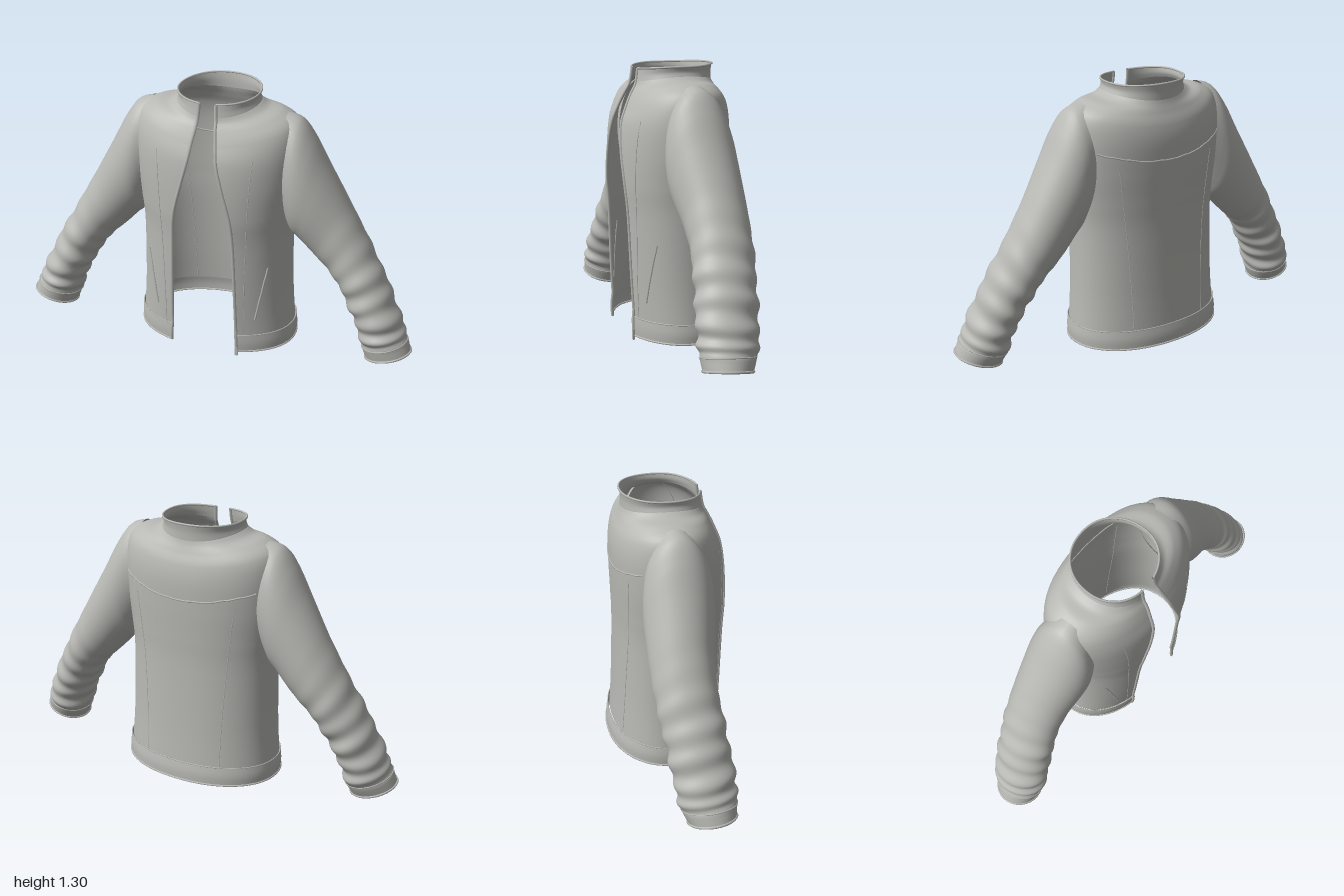
import * as THREE from 'three';
import { ParametricGeometry } from 'three/addons/geometries/ParametricGeometry.js';

// Torso rings: side y, front y, back y, half width, front z, back depth, half opening
const HEM = [
  [0.02, 0.02, 0.02, 0.4, 0.243, 0.278, 0.17],
  [0.065, 0.065, 0.065, 0.402, 0.246, 0.277, 0.168],
  [0.112, 0.112, 0.112, 0.396, 0.245, 0.268, 0.165],
];
const TORSO = [
  [0.105, 0.105, 0.105, 0.39, 0.24, 0.26, 0.165],
  [0.3, 0.3, 0.3, 0.376, 0.25, 0.249, 0.16],
  [0.6, 0.6, 0.6, 0.37, 0.262, 0.24, 0.15],
  [0.75, 0.75, 0.75, 0.382, 0.274, 0.243, 0.137],
  [0.9, 0.9, 0.9, 0.4, 0.278, 0.248, 0.1],
  [1.06, 1.02, 1.03, 0.405, 0.267, 0.248, 0.07],
  [1.17, 1.1, 1.11, 0.38, 0.238, 0.235, 0.058],
  [1.215, 1.16, 1.165, 0.31, 0.21, 0.213, 0.048],
  [1.225, 1.195, 1.2, 0.235, 0.19, 0.199, 0.045],
  [1.245, 1.215, 1.22, 0.197, 0.183, 0.193, 0.043],
];
const COLLAR = [
  [1.245, 1.215, 1.22, 0.197, 0.183, 0.193, 0.043],
  [1.265, 1.245, 1.26, 0.189, 0.178, 0.193, 0.041],
  [1.289, 1.277, 1.297, 0.193, 0.174, 0.198, 0.04],
];
// Sleeve rings: outer x, y, inner x, y, front z, back z, tilt of the ring
const SLEEVE = [
  [0.33, 1.216, 0.35, 0.68, 0.145, -0.14, 0],
  [0.4, 1.19, 0.365, 0.645, 0.163, -0.153, 0],
  [0.46, 1.11, 0.385, 0.615, 0.168, -0.16, 0],
  [0.53, 0.98, 0.42, 0.585, 0.16, -0.16, 0],
  [0.63, 0.8, 0.49, 0.51, 0.14, -0.155, 0],
  [0.72, 0.64, 0.565, 0.44, 0.14, -0.145, 0],
  [0.8, 0.5, 0.625, 0.365, 0.155, -0.13, 0],
  [0.87, 0.37, 0.675, 0.275, 0.17, -0.11, 0],
  [0.93, 0.24, 0.72, 0.19, 0.183, -0.095, 0],
  [0.965, 0.16, 0.745, 0.1, 0.183, -0.075, 0.01],
  [0.992, 0.09, 0.775, 0.028, 0.176, -0.042, 0.012],
];

// Smoothly blend the rows of a ring table, v from 0 to 1
function rowAt(rows, v) {
  const n = rows.length - 1;
  const i = Math.max(0, Math.min(n - 1, Math.floor(v * n)));
  const t = v * n - i;
  const [a, b, c, d] = [Math.max(0, i - 1), i, i + 1, Math.min(n, i + 2)].map((k) => rows[k]);
  return b.map((p, k) => {
    const m0 = (c[k] - a[k]) / 2, m1 = (d[k] - p) / 2, e = c[k] - p;
    return p + t * (m0 + t * (3 * e - 2 * m0 - m1 + t * (m0 + m1 - 2 * e)));
  });
}

// Rounded torso outline; angle 0 is the front, PI the back
const POW = 2 / 2.15;
const bend = (s) => Math.sign(s) * Math.abs(s) ** POW;
const angleOf = (x, w) => Math.asin(Math.min(1, (Math.abs(x) / w) ** (1 / POW)));

function torsoPoint(row, a, target = new THREE.Vector3()) {
  const [ySide, yFront, yBack, w, zf, zb, gap] = row;
  const s = bend(Math.sin(a)), c = bend(Math.cos(a));
  const front = zf / bend(Math.cos(angleOf(gap, w)));
  const yMid = c > 0 ? yFront : yBack;
  return target.set(w * s, yMid + (ySide - yMid) * s * s, c * (c > 0 ? front : zb));
}

function panelPoint(rows, u, v, target) {
  const row = rowAt(rows, v);
  const a0 = angleOf(row[6], row[3]);
  return torsoPoint(row, a0 + u * (2 * Math.PI - 2 * a0), target);
}

// Point of the torso at a given x and y, on the front or the back
function onTorso(x, y, back) {
  let best = null, miss = Infinity;
  for (let i = 0; i <= 300; i++) {
    const row = rowAt(TORSO, i / 300);
    const a = angleOf(x, row[3]);
    const p = torsoPoint(row, back ? Math.PI - a : a);
    if (Math.abs(p.y - y) < miss) { miss = Math.abs(p.y - y); best = p; }
  }
  best.x *= Math.sign(x) || 1;
  return best;
}

// Sleeve surface, with folds that deepen towards the wrist
function sleevePoint(u, v, side, target = new THREE.Vector3()) {
  const [ox, oy, ix, iy, zf, zb, tilt] = rowAt(SLEEVE, v);
  const a = u * Math.PI * 2, c = Math.cos(a), s = Math.sin(a);
  const depth = THREE.MathUtils.smoothstep(v, 0.35, 0.75) * (1 - THREE.MathUtils.smoothstep(v, 0.88, 0.94));
  const r = 1 + depth * (0.045 * Math.sin(v * 74 + 1.4 * s) + 0.025 * Math.sin(v * 41 + 2 * a));
  return target.set(
    side * ((ox + ix) / 2 + ((ox - ix) / 2) * c * r),
    (oy + iy) / 2 + ((oy - iy) / 2) * c * r + tilt * s,
    (zf + zb) / 2 + ((zf - zb) / 2) * s * r);
}

export function createModel() {
  const group = new THREE.Group();
  const cloth = new THREE.MeshStandardMaterial({ color: 0xb8b8b4, side: THREE.DoubleSide });
  cloth.name = 'grey cloth';

  const add = (name, geometry) => {
    const mesh = new THREE.Mesh(geometry, cloth);
    mesh.name = name;
    group.add(mesh);
    return mesh;
  };
  const piping = (name, points, radius, closed = false) => add(name, new THREE.TubeGeometry(
    new THREE.CatmullRomCurve3(points, closed), points.length * 3, radius, 6, closed));
  const sample = (n, fn) => Array.from({ length: n + 1 }, (_, i) => fn(i / n));

  // Body panels, open at the front
  const panel = (name, rows, steps) => add(name, new ParametricGeometry(
    (u, v, p) => panelPoint(rows, u, v, p), 72, steps));
  panel('torso', TORSO, 60);
  panel('waistband', HEM, 6);
  panel('collar', COLLAR, 8);

  // Thick edges of the collar and the waistband
  piping('collarEdge', sample(40, (t) => panelPoint(COLLAR, t, 1, new THREE.Vector3())), 0.005);
  piping('hemEdge', sample(40, (t) => panelPoint(HEM, t, 0, new THREE.Vector3())), 0.005);
  piping('waistSeam', sample(40, (t) => panelPoint(HEM, t, 1, new THREE.Vector3())), 0.003);

  for (const side of [1, -1]) {
    const label = side > 0 ? 'left' : 'right';

    // Sleeve and its cuff
    add(label + 'Sleeve', new ParametricGeometry(
      (u, v, p) => sleevePoint(u, v, side, p), 40, 110));
    const loop = (v) => sample(31, (t) => sleevePoint(t * 31 / 32, v, side));
    piping(label + 'CuffEdge', loop(1), 0.006, true);
    piping(label + 'CuffSeam', loop(0.92), 0.003, true);

    // Zip along the front opening
    const edge = side > 0 ? 0 : 1;
    const zip = [HEM, TORSO, COLLAR].flatMap((rows, k) => sample([2, 24, 2][k],
      (t) => panelPoint(rows, edge, k === 1 ? 0.03 + t * 0.94 : t, new THREE.Vector3())));
    piping(label + 'FrontZip', zip, 0.008);

    // Shaped seams on the front and the back
    piping(label + 'FrontSeam', sample(12, (t) => onTorso(side * (0.2 + 0.03 * t * t), 0.11 + t * 0.94, false)), 0.002);
    piping(label + 'BackSeam', sample(12, (t) => onTorso(side * (0.2 + 0.06 * t * t), 0.11 + t * 0.83, true)), 0.002);

    // Slanted pocket zip
    piping(label + 'PocketZip', sample(8, (t) => onTorso(side * (0.25 + 0.05 * t), 0.2 + t * 0.28, false)), 0.005);
  }

  // Zip end hanging below the hem
  const tail = add('zipEnd', new THREE.BoxGeometry(0.014, 0.05, 0.009));
  tail.position.set(0.17, 0.025, 0.247);

  // Yoke seam across the upper back
  piping('backYoke', sample(20, (t) => {
    const x = -0.34 + 0.68 * t;
    return onTorso(x, 0.95 + 0.5 * x * x, true);
  }), 0.004);

  return group;
}
